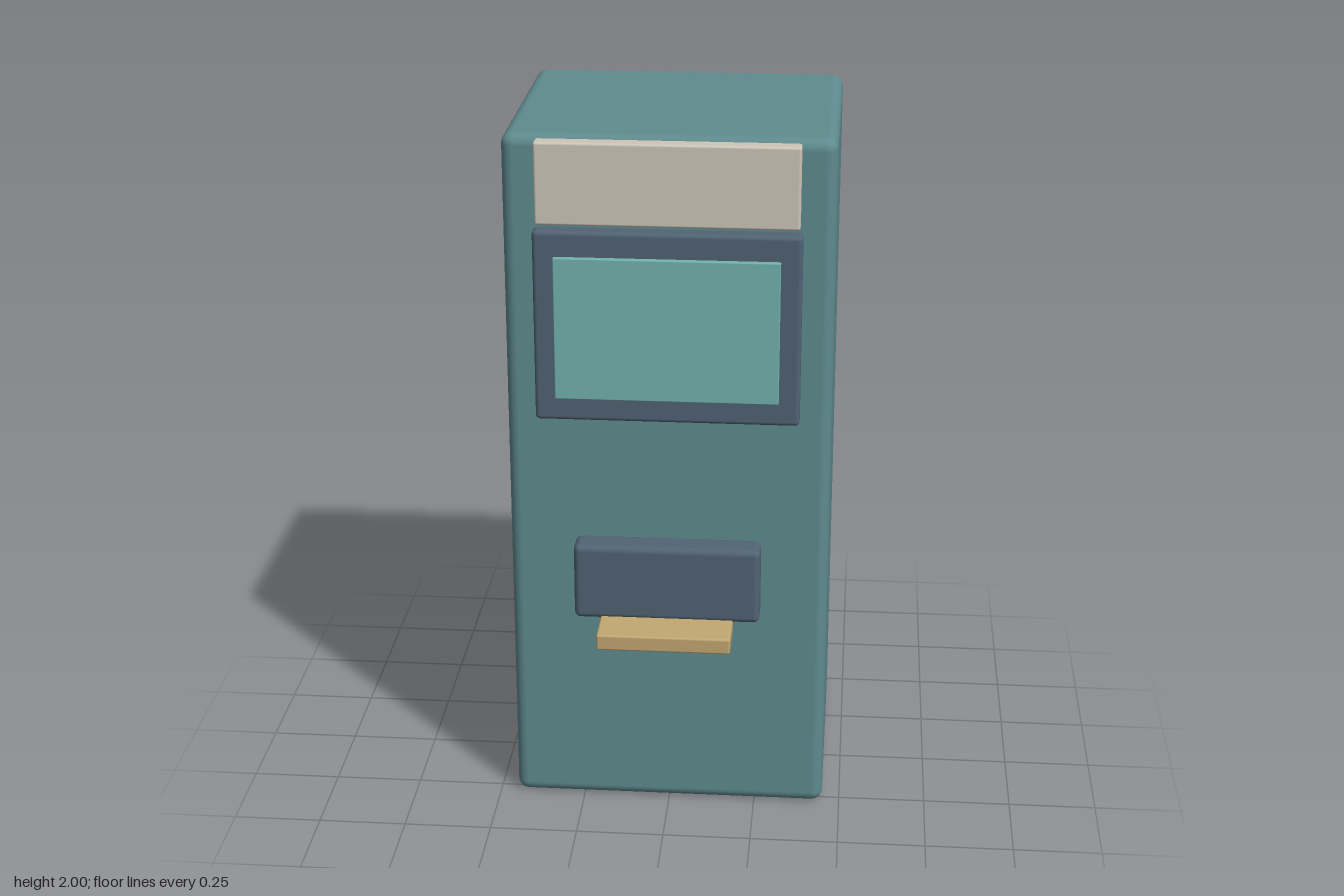
import * as THREE from 'three';
import { RoundedBoxGeometry } from 'three/addons/geometries/RoundedBoxGeometry.js';

function material(name, color) {
  const m = new THREE.MeshStandardMaterial({ color });
  m.name = name;
  return m;
}

export function createModel() {
  const teal = material('teal cabinet', 0x5f8b8f);
  const cream = material('cream', 0xcdc6b8);
  const slate = material('slate', 0x516373);
  const aqua = material('aqua screen', 0x72b2ae);
  const tan = material('tan', 0xc2a872);

  const group = new THREE.Group();
  group.name = 'kiosk';

  // Rounded box centred on x, given by its y and z limits
  function block(name, width, [y0, y1], [z0, z1], radius, mat) {
    const geometry = new RoundedBoxGeometry(width, y1 - y0, z1 - z0, 4, radius);
    const mesh = new THREE.Mesh(geometry, mat);
    mesh.name = name;
    mesh.position.set(0, (y0 + y1) / 2, (z0 + z1) / 2);
    group.add(mesh);
  }

  block('cabinet', 0.9, [0, 2], [-0.487, 0.287], 0.032, teal);
  block('headerSign', 0.71, [1.765, 1.992], [0.288, 0.337], 0.007, cream);

  // Display
  block('screenBezel', 0.726, [1.21, 1.75], [0.287, 0.342], 0.012, slate);
  block('screen', 0.612, [1.278, 1.68], [0.339, 0.357], 0.003, aqua);

  // Dispenser and tray
  block('dispenserHousing', 0.524, [0.618, 0.842], [0.279, 0.368], 0.018, slate);
  block('tray', 0.374, [0.58, 0.626], [0.34, 0.487], 0.006, tan);

  return group;
}
